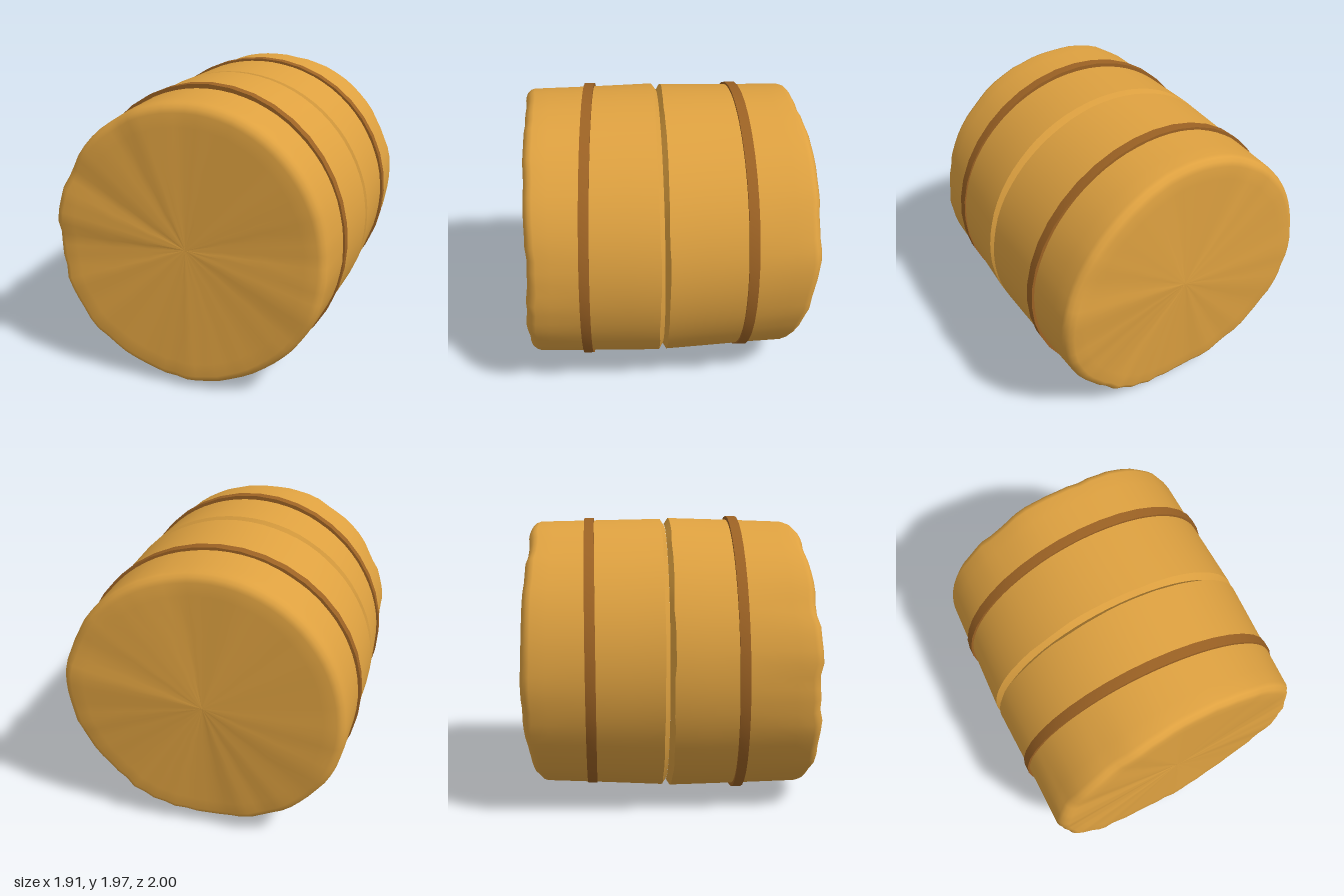
import * as THREE from 'three';

const TAU = Math.PI * 2;
const SEG = 72;

// Small seeded random generator
function seeded(seed) {
  return () => {
    seed = (seed * 16807) % 2147483647;
    return seed / 2147483647;
  };
}

// Skin closed rings around the z axis. Each strip is a list of functions
// (angle, column) -> [x, y, z]; strips share no vertices, so edges between them stay sharp.
function skin(strips, segments, flip = false) {
  const positions = [], index = [];
  for (const rings of strips) {
    const base = positions.length / 3;
    for (const ring of rings)
      for (let j = 0; j < segments; j++) positions.push(...ring((j / segments) * TAU, j));
    for (let i = 0; i < rings.length - 1; i++)
      for (let j = 0; j < segments; j++) {
        const k = (j + 1) % segments;
        const a = base + i * segments + j, b = base + i * segments + k;
        const c = b + segments, d = a + segments;
        if (flip) index.push(a, c, b, a, d, c);
        else index.push(a, b, c, a, c, d);
      }
  }
  const geometry = new THREE.BufferGeometry();
  geometry.setAttribute('position', new THREE.Float32BufferAttribute(positions, 3));
  geometry.setIndex(index);
  geometry.computeVertexNormals();
  return geometry;
}

// One half of the bale, from the middle groove to its rough cut end
function baleHalf({ side, endZ, faceZ, lip, end, seed }) {
  const random = seeded(seed);
  // Uneven straw: stepped clumps along the rim
  const noise = [];
  let clump = 0, left = 0;
  for (let j = 0; j < SEG; j++) {
    if (left-- <= 0) {
      clump = random() * 2 - 1;
      left = 1 + Math.floor(random() * 3);
    }
    noise.push(clump * 0.75 + (random() - 0.5) * 0.5);
  }
  const mix = THREE.MathUtils.lerp;

  // A ring at fraction t of the length, inset from the surface, roughened by rough
  const wall = (t, inset, rough) => (a, j) => {
    const rx = mix(lip.rx, end.rx, t) - inset + noise[j] * 0.008 * rough;
    const ry = mix(lip.ry, end.ry, t) - inset + noise[j] * 0.008 * rough;
    const z = mix(0.03 + noise[j] * 0.006, endZ(a) + noise[j] * 0.014 - 0.06, t);
    return [rx * Math.cos(a), mix(lip.cy, end.cy, t) + ry * Math.sin(a), side * z];
  };
  // The rounded rim, lift being the distance beyond the end of the wall
  const rim = (lift, inset) => (a, j) => {
    const [x, y, z] = wall(1, inset, 1)(a, j);
    return [x, y, z + side * lift];
  };
  // Radially creased end face
  const face = (s) => (a, j) => {
    const [x, y, z] = rim(0.06, 0.06)(a, j);
    return [x * s, mix(end.cy, y, s), mix(side * faceZ, z, s)];
  };
  const groove = (a) => [
    (lip.rx - 0.045) * Math.cos(a), lip.cy + (lip.ry - 0.045) * Math.sin(a), 0];

  return skin([
    [groove, wall(0, 0, 0)],
    [wall(0, 0, 0), wall(0.25, 0, 0), wall(0.5, 0, 0.1), wall(0.7, 0, 0.4), wall(0.88, 0, 0.8),
      rim(0, 0), rim(0.025, 0.009), rim(0.047, 0.029), rim(0.06, 0.06),
      face(0.9), face(0.6), face(0.3), face(0)],
  ], SEG, side < 0);
}

// Flat binding strap with a rectangular section, wandering slightly in z
function strap({ rx, ry, cx, cy, z }) {
  const thick = 0.03, half = 0.033;
  const corner = (inset, dz) => (a) => [
    cx + (rx - inset) * Math.cos(a), cy + (ry - inset) * Math.sin(a), z(a) + dz];
  const o0 = corner(0, -half), o1 = corner(0, half);
  const i0 = corner(thick, -half), i1 = corner(thick, half);
  return skin([[o0, o1], [o1, i1], [i1, i0], [i0, o0]], 40);
}

export function createModel() {
  const straw = new THREE.MeshStandardMaterial({ color: 0xdea140 });
  straw.name = 'straw';
  const twine = new THREE.MeshStandardMaterial({ color: 0x9c6224 });
  twine.name = 'twine';

  const group = new THREE.Group();
  group.name = 'hayBale';
  const add = (name, geometry, material) => {
    const mesh = new THREE.Mesh(geometry, material);
    mesh.name = name;
    group.add(mesh);
  };

  // Straw halves, each with a slanted end
  add('frontHalf', baleHalf({
    side: 1, seed: 4711, faceZ: 0.92,
    endZ: (a) => 0.93 - 0.055 * Math.cos(a - Math.PI / 4),
    lip: { rx: 0.957, ry: 0.968, cy: 1.0 },
    end: { rx: 0.925, ry: 0.95, cy: 0.995 },
  }), straw);
  add('backHalf', baleHalf({
    side: -1, seed: 90210, faceZ: 0.93,
    endZ: (a) => 0.935 + 0.03 * Math.cos(a - 0.7) + 0.03 * Math.cos(2 * (a - 0.17)),
    lip: { rx: 0.957, ry: 0.962, cy: 1.0 },
    end: { rx: 0.927, ry: 0.932, cy: 1.013 },
  }), straw);

  // Binding straps
  add('frontStrap', strap({
    rx: 0.952, ry: 0.986, cx: -0.004, cy: 0.997,
    z: (a) => 0.493 + 0.025 * Math.cos(a) - 0.02 * Math.sin(a),
  }), twine);
  add('backStrap', strap({
    rx: 0.957, ry: 0.957, cx: 0, cy: 1.013,
    z: (a) => -0.53 - 0.03 * Math.cos(a),
  }), twine);

  return group;
}
